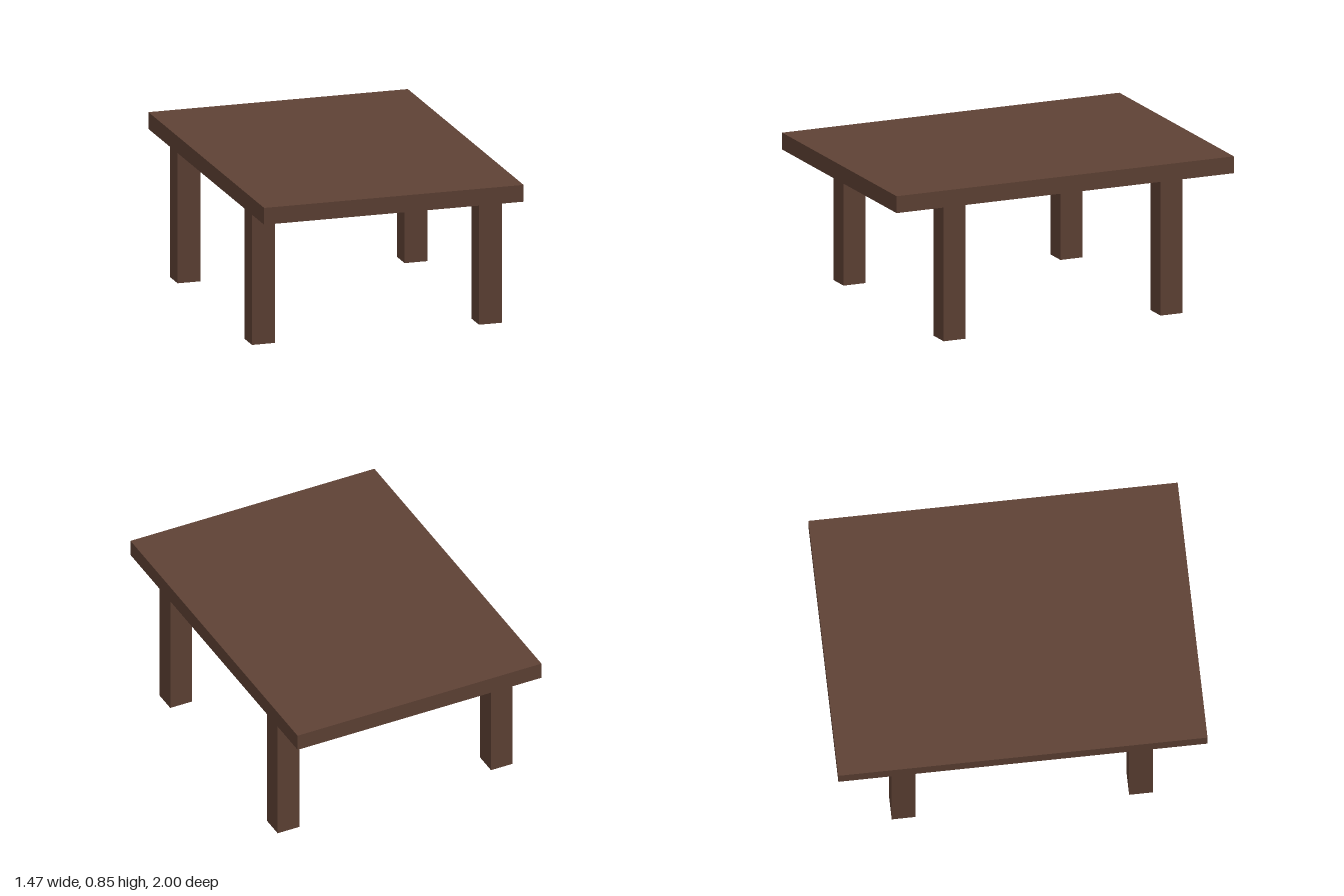
import * as THREE from 'three';

export function createModel() {
  const table = new THREE.Group();
  table.name = 'table';
  const wood = new THREE.MeshStandardMaterial({ color: 0x5f4235 });
  wood.name = 'dark brown wood';

  const legHeight = 0.753, legWidth = 0.13, topThickness = 0.094, legOffset = 0.643;

  // Flat rectangular slab
  const top = new THREE.Mesh(new THREE.BoxGeometry(1.47, topThickness, 2), wood);
  top.name = 'tableTop';
  top.position.y = legHeight + topThickness / 2;
  table.add(top);

  // Four square legs
  const legGeometry = new THREE.BoxGeometry(legWidth, legHeight, legWidth);
  for (const [sx, side] of [[1, 'Left'], [-1, 'Right']]) {
    for (const [sz, end] of [[1, 'front'], [-1, 'back']]) {
      const leg = new THREE.Mesh(legGeometry, wood);
      leg.name = `${end}${side}Leg`;
      leg.position.set(sx * legOffset, legHeight / 2, sz * legOffset);
      table.add(leg);
    }
  }
  return table;
}
